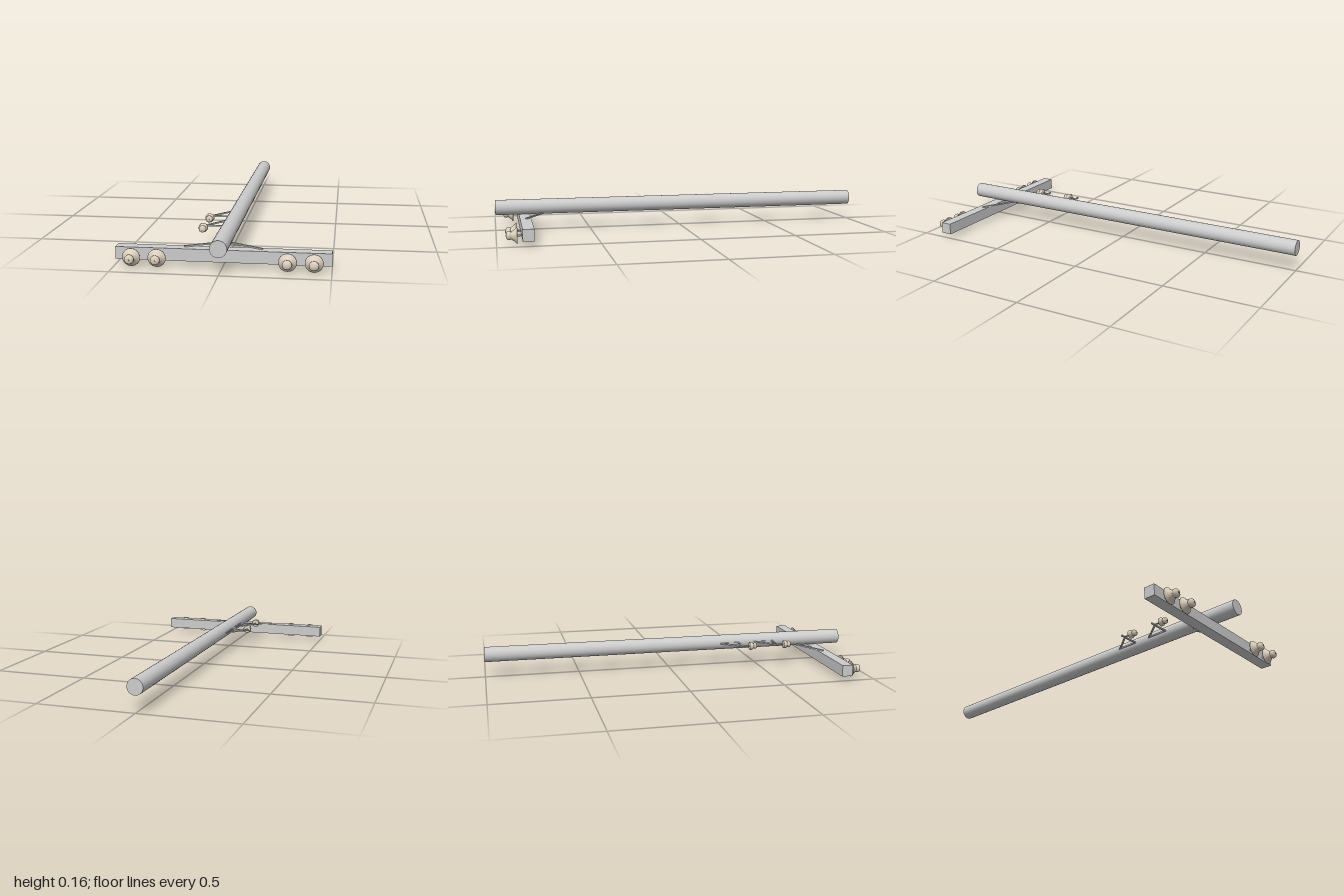
import * as THREE from 'three';

const grey = new THREE.MeshStandardMaterial({ color: 0xcccccc });
const ceramic = new THREE.MeshStandardMaterial({ color: 0xdccfbc, side: THREE.DoubleSide });
const AXIS_Y = 0.123; // height of the pole's axis

function add(parent, name, geometry, material, x = 0, y = 0, z = 0) {
  const mesh = new THREE.Mesh(geometry, material);
  mesh.name = name;
  mesh.position.set(x, y, z);
  parent.add(mesh);
  return mesh;
}

// Flat bar in the xz plane between two [x, z] points
function bar(parent, name, a, b, y, width, height) {
  const dx = b[0] - a[0], dz = b[1] - a[1];
  const geometry = new THREE.BoxGeometry(Math.hypot(dx, dz), height, width);
  const mesh = add(parent, name, geometry, grey, (a[0] + b[0]) / 2, y, (a[1] + b[1]) / 2);
  mesh.rotation.y = -Math.atan2(dz, dx);
}

// Turned part whose profile [radius, z] runs towards +z
function turned(profile) {
  const points = profile.map(([r, z]) => new THREE.Vector2(r, z));
  return new THREE.LatheGeometry(points, 28).rotateX(Math.PI / 2);
}

function rod(radius, length, segments) {
  return new THREE.CylinderGeometry(radius, radius, length, segments).rotateX(Math.PI / 2);
}

// Flared skirt with a grooved, domed cap
const largeProfile = [
  [0, 0.008], [0.02, 0.006], [0.0425, 0], [0.042, 0.003], [0.033, 0.010], [0.026, 0.018], [0.022, 0.025],
  [0.019, 0.028], [0.019, 0.031], [0.022, 0.035], [0.022, 0.043], [0.019, 0.049], [0.012, 0.053], [0, 0.055],
];
const smallProfile = [
  [0, 0], [0.018, 0], [0.022, 0.003], [0.022, 0.014], [0.019, 0.019], [0.014, 0.022],
  [0.014, 0.025], [0.017, 0.029], [0.017, 0.036], [0.013, 0.041], [0, 0.043],
];

export function createModel() {
  const model = new THREE.Group();
  model.name = 'utilityPole';

  add(model, 'pole', rod(0.04, 2, 32), grey, 0, AXIS_Y, 0);
  add(model, 'crossarm', new THREE.BoxGeometry(1, 0.059, 0.057), grey, 0, 0.0545, 0.849);

  // Diagonal braces lying against the crossarm
  for (const side of [-1, 1]) {
    bar(model, 'crossarmBrace', [side * 0.005, 0.748], [side * 0.18, 0.845], 0.087, 0.011, 0.007);
  }

  // Insulators on the crossarm
  const largeGeometry = turned(largeProfile);
  for (const x of [-0.42, -0.3, 0.3, 0.42]) {
    const insulator = new THREE.Group();
    insulator.name = 'crossarmInsulator';
    insulator.position.set(x, 0.0428, 0.9);
    add(insulator, 'pin', rod(0.005, 0.04, 10), grey, 0, 0, -0.01);
    add(insulator, 'skirtedInsulator', largeGeometry, ceramic);
    add(insulator, 'capBolt', rod(0.004, 0.003, 10), grey, 0, 0, 0.055);
    model.add(insulator);
  }

  // Side brackets, each carrying one small insulator
  const smallGeometry = turned(smallProfile);
  for (const z of [0.395, 0.592]) {
    const bracket = new THREE.Group();
    bracket.name = 'sideBracket';
    bracket.position.set(0, AXIS_Y, z);
    bar(bracket, 'bracketArm', [-0.154, 0], [-0.035, 0], 0, 0.008, 0.007);
    bar(bracket, 'bracketStrut', [-0.125, 0], [-0.04, -0.104], 0, 0.008, 0.007);
    bar(bracket, 'bracketPlate', [-0.041, -0.108], [-0.041, 0.004], 0, 0.007, 0.007);
    add(bracket, 'pin', rod(0.004, 0.04, 10), grey, -0.129, 0, 0.02);
    add(bracket, 'smallInsulator', smallGeometry, ceramic, -0.129, 0, 0.035);
    add(bracket, 'capBolt', rod(0.003, 0.003, 10), grey, -0.129, 0, 0.078);
    model.add(bracket);
  }
  return model;
}
